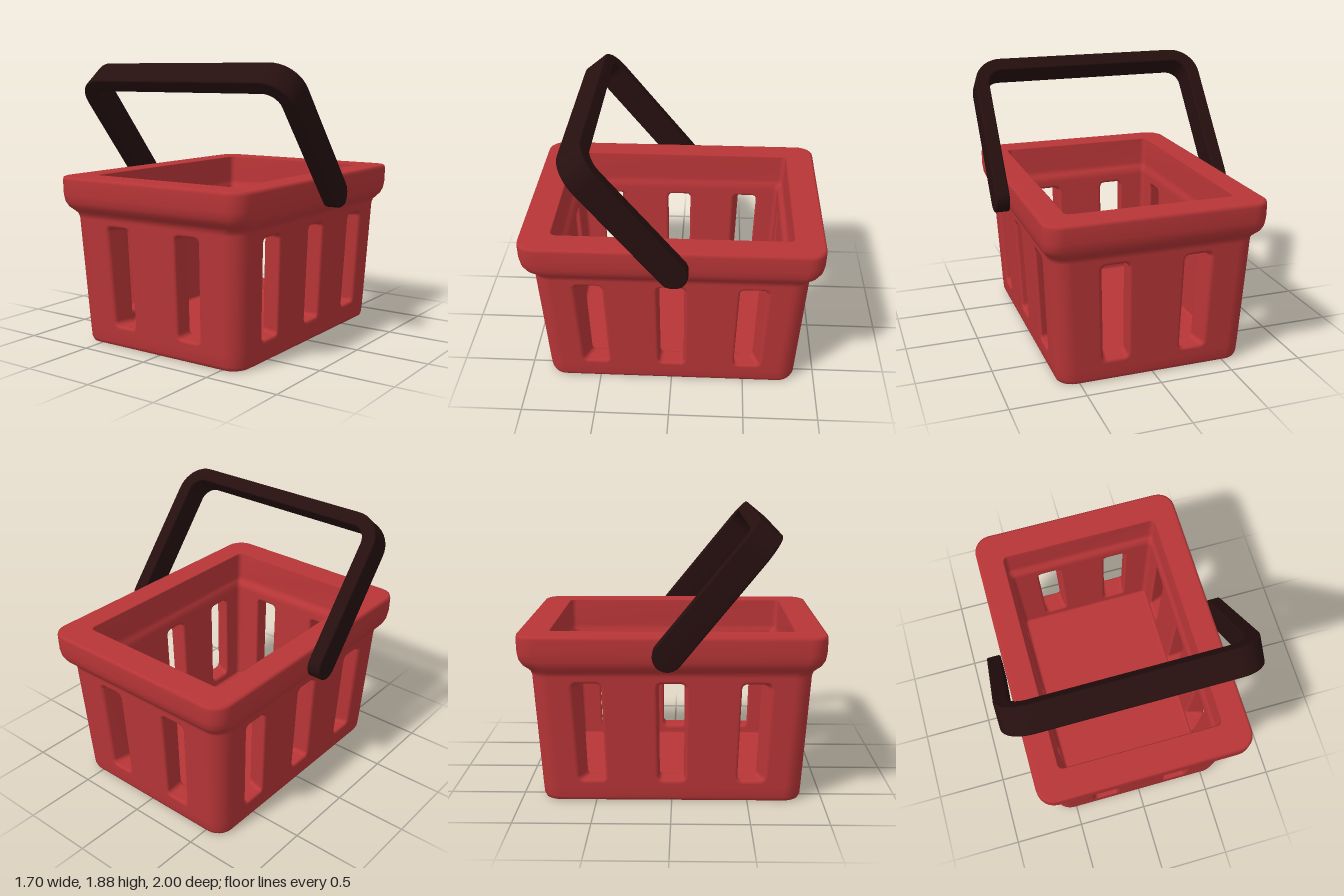
import * as THREE from 'three';

const ARC = 6; // segments per rounded corner
const Y0 = 0.1, Y1 = 0.86; // height range of the slotted walls

// Rounded rectangle, counter-clockwise, as [a, b] pairs
function roundRect(ha, hb, r, n = ARC) {
  const pts = [];
  for (let k = 0; k < 4; k++) {
    const ca = (k === 0 || k === 3 ? 1 : -1) * (ha - r);
    const cb = (k < 2 ? 1 : -1) * (hb - r);
    for (let i = 0; i <= n; i++) {
      const t = (k + i / n) * Math.PI / 2;
      pts.push([ca + r * Math.cos(t), cb + r * Math.sin(t)]);
    }
  }
  return pts;
}

// Skin over closed rings of Vector3; skip(i, j) leaves quads open after the normals are made
function loft(rings, caps = false, skip = () => false) {
  const n = rings[0].length, last = rings.length - 1;
  const pts = rings.flat(), all = [], kept = [];
  for (let i = 0; i < last; i++) {
    for (let j = 0; j < n; j++) {
      const k = (j + 1) % n;
      const a = i * n + j, b = i * n + k, d = a + n, c = b + n;
      all.push(a, d, b, b, d, c);
      if (!skip(i, j)) kept.push(a, d, b, b, d, c);
    }
  }
  if (caps) {
    for (const i of [0, last]) {
      const mid = new THREE.Vector3();
      rings[i].forEach((p) => mid.addScaledVector(p, 1 / n));
      const m = pts.push(mid) - 1;
      for (let j = 0; j < n; j++) {
        const a = i * n + j, b = i * n + (j + 1) % n;
        const tri = i === 0 ? [m, a, b] : [m, b, a];
        all.push(...tri);
        kept.push(...tri);
      }
    }
  }
  const geo = new THREE.BufferGeometry().setFromPoints(pts);
  geo.setIndex(all);
  geo.computeVertexNormals();
  geo.setIndex(kept);
  return geo;
}

// Shell profile, from under the base, over the rim and down to the floor: [y, halfX, halfZ, radius]
const OUTER = [[Y0, 0.645, 0.866, 0.12], [Y1, 0.682, 0.912, 0.12]];
const INNER = [[Y0, 0.51, 0.715, 0.03], [Y1, 0.535, 0.745, 0.03]];
const PROFILE = [
  [0, 0.615, 0.835, 0.095], [0.006, 0.63, 0.85, 0.11], [0.03, 0.64, 0.861, 0.12],
  ...OUTER,
  [0.89, 0.69, 0.922, 0.12], [0.91, 0.707, 0.94, 0.12], [0.935, 0.726, 0.968, 0.12],
  [0.97, 0.738, 0.988, 0.12], [1.02, 0.744, 0.997, 0.12], [1.115, 0.745, 1, 0.12],
  [1.134, 0.74, 0.995, 0.115], [1.14, 0.725, 0.98, 0.1],
  [1.14, 0.57, 0.8, 0.04], [1.135, 0.563, 0.793, 0.035],
  [0.95, 0.558, 0.787, 0.035], [0.92, 0.552, 0.775, 0.035], [0.9, 0.54, 0.753, 0.03],
  INNER[1], INNER[0],
  [0.085, 0.503, 0.708, 0.025], [0.08, 0.488, 0.693, 0.02],
];

function shellGeometry() {
  const rings = PROFILE.map(([y, hx, hz, r]) =>
    roundRect(hx, hz, r).map(([x, z]) => new THREE.Vector3(x, y, z)));
  const open = [PROFILE.indexOf(OUTER[0]), PROFILE.indexOf(INNER[1])];
  return loft(rings, true, (i, j) => open.includes(i) && (j + 1) % (ARC + 1) === 0);
}

// Wall point: u along the wall, y up, d from 0 (outside) to 1 (inside)
function wallPoint(u, y, d, half, axis) {
  const t = (y - Y0) / (Y1 - Y0), { lerp } = THREE.MathUtils;
  const at = (i) => lerp(lerp(OUTER[0][i], OUTER[1][i], t), lerp(INNER[0][i], INNER[1][i], t), d);
  const length = at(axis) - at(3);
  return new THREE.Vector3(u / half * length, y, at(3 - axis));
}

// One wall: two faces with holes and a soft-edged tunnel for each slot
function makeWall(name, axis, slots, halfWidth, angle, material) {
  const wall = new THREE.Group();
  wall.name = name;
  wall.rotation.y = angle;
  const half = (OUTER[0][axis] + OUTER[1][axis]) / 2 - 0.12;
  const bevel = 0.02, depth = 0.16, yMid = 0.482;
  const slotOutline = (u, grow) => roundRect(halfWidth + grow, 0.333 + grow, 0.03 + grow, 4)
    .map(([a, b]) => [u + a, yMid + b]);
  const add = (geo, part) => {
    const mesh = new THREE.Mesh(geo, material);
    mesh.name = part;
    wall.add(mesh);
  };

  for (const d of [0, 1]) {
    const shape = new THREE.Shape([[-half, Y0], [half, Y0], [half, Y1], [-half, Y1]]
      .map(([a, b]) => new THREE.Vector2(a, b)));
    for (const u of slots) {
      shape.holes.push(new THREE.Path(slotOutline(u, bevel).map(([a, b]) => new THREE.Vector2(a, b))));
    }
    const geo = new THREE.ShapeGeometry(shape);
    const pos = geo.attributes.position;
    for (let i = 0; i < pos.count; i++) {
      const p = wallPoint(pos.getX(i), pos.getY(i), d, half, axis);
      pos.setXYZ(i, p.x, p.y, p.z);
    }
    if (d === 1) geo.setIndex(Array.from(geo.index.array).reverse());
    geo.computeVertexNormals();
    add(geo, d ? 'innerFace' : 'outerFace');
  }

  for (const u of slots) {
    const steps = [];
    for (let i = 0; i <= 4; i++) {
      const a = i / 4 * Math.PI / 2;
      steps.push([bevel * (1 - Math.sin(a)), bevel / depth * (1 - Math.cos(a))]);
    }
    const profile = [...steps.map(([g, d]) => [g, 1 - d]), ...steps.reverse()];
    add(loft(profile.map(([g, d]) =>
      slotOutline(u, g).map(([a, b]) => wallPoint(a, b, d, half, axis)))), 'slot');
  }
  return wall;
}

// Arched handle: a flat bar swept up one leg, across and down, with round ends
function handleGeometry() {
  const R = 0.098, thick = 0.048, legX = 0.8, top = 0.969, bend = 0.15;
  const stations = []; // [x, y, direction angle, half width]
  for (let i = 1; i <= 10; i++) {
    const a = i / 10 * Math.PI / 2;
    stations.push([legX, -R * Math.cos(a), 0, R * Math.sin(a)]);
  }
  for (let i = 0; i <= 10; i++) {
    const a = i / 10 * Math.PI / 2;
    stations.push([legX - bend + bend * Math.cos(a), top - bend + bend * Math.sin(a), a, R]);
  }
  const mirrored = stations.map(([x, y, a, w]) => [-x, y, Math.PI - a, w]).reverse();
  return loft([...stations, ...mirrored].map(([x, y, a, w]) =>
    roundRect(thick, w, Math.min(0.012, w * 0.5), 3).map(([n, z]) =>
      new THREE.Vector3(x + n * Math.cos(a), y + n * Math.sin(a), z))), true);
}

export function createModel() {
  const red = new THREE.MeshStandardMaterial({ color: 0xb83537 });
  red.name = 'basket red';
  const dark = new THREE.MeshStandardMaterial({ color: 0x260f0f });
  dark.name = 'handle dark brown';

  const model = new THREE.Group();
  model.name = 'shoppingBasket';

  // Base, corners, rim and floor
  const shell = new THREE.Mesh(shellGeometry(), red);
  shell.name = 'basketShell';
  model.add(shell);

  // Slotted walls
  const ends = [-0.273, 0.273], sides = [-0.538, 0, 0.538];
  model.add(
    makeWall('frontWall', 1, ends, 0.088, 0, red),
    makeWall('backWall', 1, ends, 0.088, Math.PI, red),
    makeWall('leftWall', 2, sides, 0.09, Math.PI / 2, red),
    makeWall('rightWall', 2, sides, 0.09, -Math.PI / 2, red),
  );

  // Handle, tipped towards the front
  const handle = new THREE.Mesh(handleGeometry(), dark);
  handle.name = 'handle';
  handle.position.set(0, 1.035, -0.022);
  handle.rotation.x = THREE.MathUtils.degToRad(39);
  model.add(handle);

  return model;
}
